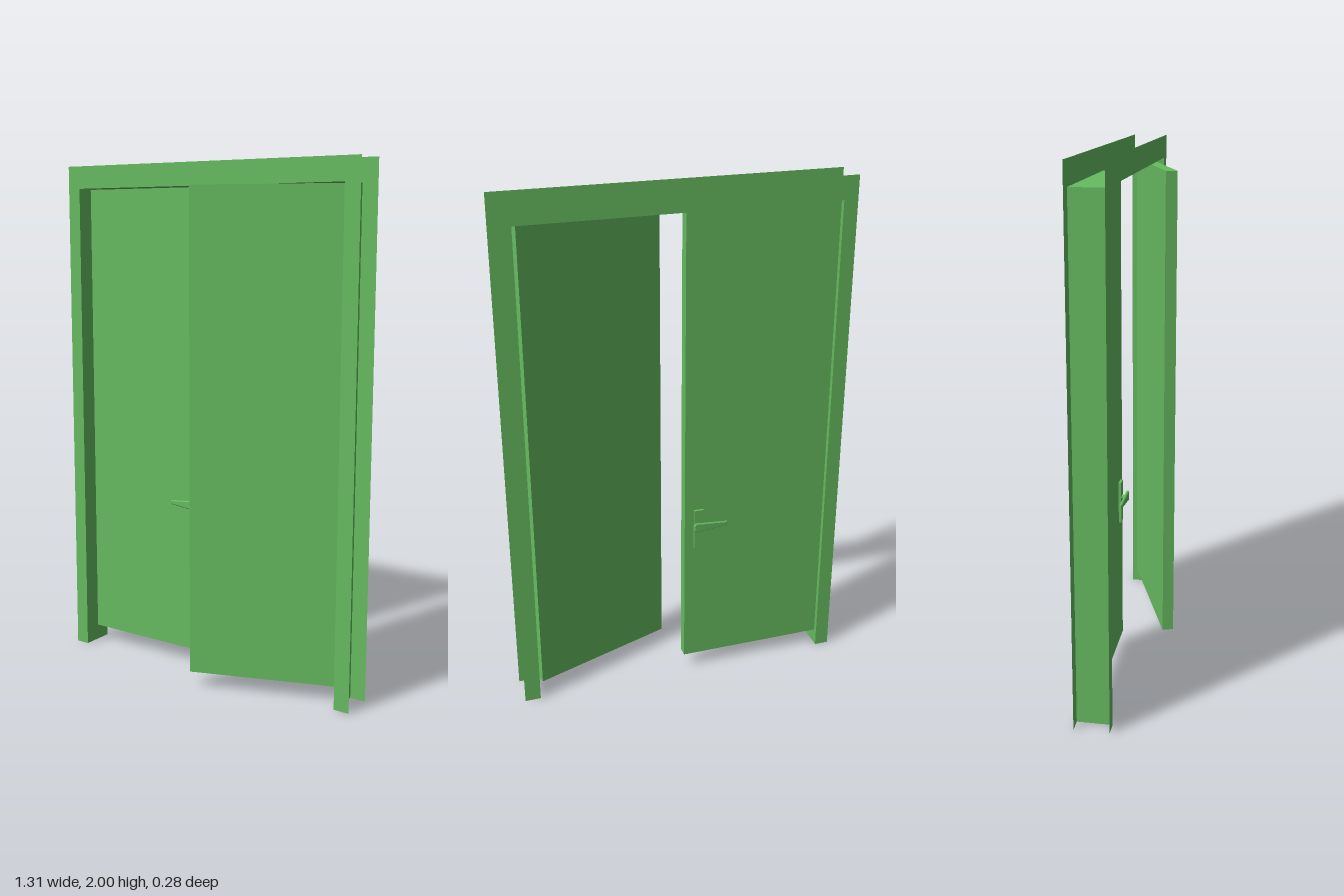
import * as THREE from 'three';

const FRONT = 0.005, BACK = -0.127;          // casing planes
const LEFT = -0.6, RIGHT = 0.593, TOP = 1.912; // opening
const DOOR_FRONT = -0.064, DOOR_T = 0.044, DOOR_BOTTOM = 0.063;

export function createModel() {
  const model = new THREE.Group();
  const green = new THREE.MeshStandardMaterial({ color: 0x66bb60, flatShading: true });
  const sheet = new THREE.MeshStandardMaterial({ color: 0x66bb60, flatShading: true, side: THREE.DoubleSide });

  const add = (parent, name, geometry, material = green) => {
    const mesh = new THREE.Mesh(geometry, material);
    mesh.name = name;
    parent.add(mesh);
    return mesh;
  };
  const polygon = (points) => new THREE.Shape(points.map(([x, y]) => new THREE.Vector2(x, y)));

  // Flat casings on both sides of the wall
  const casing = polygon([
    [-0.655, 0], [LEFT, 0], [LEFT, TOP], [RIGHT, TOP],
    [RIGHT, 0], [0.655, 0], [0.655, 2], [-0.655, 2],
  ]);
  for (const [name, z] of [['frontCasing', FRONT], ['backCasing', BACK]]) {
    add(model, name, new THREE.ShapeGeometry(casing), sheet).position.z = z;
  }

  // Thin lining of the opening
  const depth = FRONT - BACK, midZ = (FRONT + BACK) / 2;
  for (const [name, x] of [['rightJamb', LEFT], ['leftJamb', RIGHT]]) {
    const jamb = add(model, name, new THREE.PlaneGeometry(depth, TOP), sheet);
    jamb.rotation.y = Math.PI / 2;
    jamb.position.set(x, TOP / 2, midZ);
  }
  const head = add(model, 'headJamb', new THREE.PlaneGeometry(RIGHT - LEFT, depth), sheet);
  head.rotation.x = Math.PI / 2;
  head.position.set((LEFT + RIGHT) / 2, TOP, midZ);

  // Door leaf, with its origin on the front hinge edge
  const makeLeaf = (name, width, direction) => {
    const group = new THREE.Group();
    group.name = name;
    const height = TOP - 0.002 - DOOR_BOTTOM;
    const leaf = new THREE.BoxGeometry(width, height, DOOR_T);
    leaf.translate(direction * width / 2, DOOR_BOTTOM + height / 2, -DOOR_T / 2);
    add(group, name + 'Panel', leaf);
    model.add(group);
    return group;
  };
  const closed = makeLeaf('closedDoor', 0.585, 1);
  closed.position.set(LEFT, 0, DOOR_FRONT);
  const open = makeLeaf('openDoor', 0.593, -1);
  open.position.set(RIGHT - 0.001, 0, DOOR_FRONT);
  open.rotation.y = THREE.MathUtils.degToRad(19.8);

  // Handle on each face of the closed door
  const leverOutline = polygon([
    [-0.107, -0.005], [0, -0.015], [0.018, -0.017], [0.024, -0.01],
    [0.024, 0.01], [0.018, 0.017], [0, 0.015], [-0.107, 0.005],
  ]);
  for (const side of [1, -1]) {
    const handle = new THREE.Group();
    handle.name = side > 0 ? 'frontHandle' : 'backHandle';
    handle.position.set(-0.071, 0.673, side > 0 ? DOOR_FRONT : DOOR_FRONT - DOOR_T);
    model.add(handle);

    add(handle, 'handlePlate', new THREE.BoxGeometry(0.038, 0.165, 0.01))
      .position.set(0, -0.018, side * 0.005);

    const spindle = add(handle, 'handleSpindle', new THREE.CylinderGeometry(0.01, 0.01, 0.022, 8));
    spindle.rotation.x = Math.PI / 2;
    spindle.position.z = side * 0.015;

    const lever = new THREE.ExtrudeGeometry(leverOutline, {
      depth: 0.004, bevelThickness: 0.003, bevelSize: 0.003, bevelSegments: 1,
    });
    lever.translate(0, 0, -0.002);
    const leverMesh = add(handle, 'handleLever', lever);
    leverMesh.position.z = side * 0.028;
    leverMesh.rotation.y = -side * 0.04;
  }
  return model;
}
